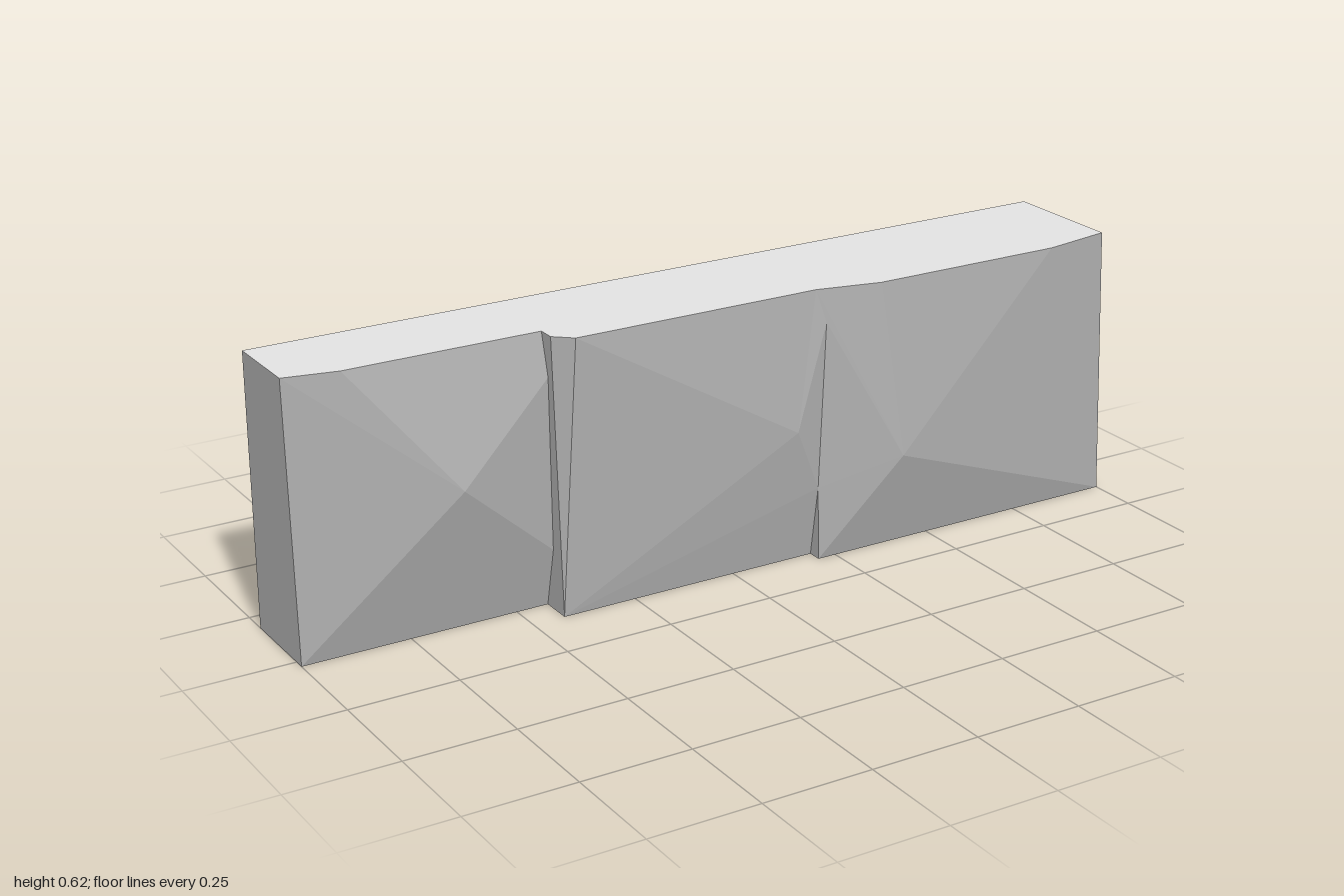
import * as THREE from 'three';

const H = 0.625, BACK = -0.19;

// Flat-shaded mesh from convex faces, each a counter-clockwise list of corners
function facets(name, faces, material) {
  const pos = [];
  for (const f of faces)
    for (let i = 1; i < f.length - 1; i++) pos.push(...f[0], ...f[i], ...f[i + 1]);
  const g = new THREE.BufferGeometry();
  g.setAttribute('position', new THREE.Float32BufferAttribute(pos, 3));
  g.computeVertexNormals();
  const mesh = new THREE.Mesh(g, material);
  mesh.name = name;
  return mesh;
}

// Horizontal slab face between the straight back and a front outline of [x, z]
function slab(outline, y, up) {
  const faces = [];
  for (let i = 0; i < outline.length - 1; i++) {
    const [x0, z0] = outline[i], [x1, z1] = outline[i + 1];
    if (x0 === x1) continue;
    const f = [[x0, y, z0], [x1, y, z1], [x1, y, BACK], [x0, y, BACK]];
    faces.push(up ? f : f.reverse());
  }
  return faces;
}

function flatMaterial(name, color) {
  const m = new THREE.MeshStandardMaterial({ color, flatShading: true });
  m.name = name;
  return m;
}

export function createModel() {
  const stone = flatMaterial('grey stone', 0xacacac);
  const paleStone = flatMaterial('pale top', 0xe1e1e1);
  const group = new THREE.Group();
  group.name = 'rockWall';

  // Left rock corners
  const S = -0.425;
  const a0 = [-1, 0, 0.025], a1 = [-1, H, 0], a2 = [-0.88, H, 0.025], a3 = [S, H, 0.025];
  const a4 = [S, 0.53, 0.05], a5 = [S, 0.14, 0.056], a6 = [S, 0, 0.025];
  const peakA = [-0.65, 0.34, 0.1];
  // Middle rock corners
  const b0 = [S, 0, 0.1], b1 = [S, H, 0.065], b2 = [-0.385, H, 0.1], b3 = [0.21, H, 0.1];
  const b4 = [0.23, 0.55, 0.113], b5 = [0.205, 0.17, 0.127], b6 = [0.205, 0, 0.1];
  const peakB = [0.14, 0.32, 0.143];
  // Right rock corners
  const c0 = [0.205, 0, 0.133], c1 = [0.36, H, 0.133], c2 = [0.83, H, 0.133];
  const c3 = [1, H, 0.103], c4 = [1, 0, 0.133];
  const peakC = [0.39, 0.23, 0.19];

  // Faceted rock faces
  group.add(facets('leftRock', [
    [peakA, a2, a1, a0], [peakA, a3, a2], [peakA, a4, a3],
    [peakA, a5, a4], [peakA, a6, a5], [peakA, a0, a6],
  ], stone));
  group.add(facets('middleRock', [
    [b0, b2, b1], [peakB, b2, b0], [peakB, b3, b2], [peakB, b4, b3],
    [peakB, b5, b4], [peakB, b0, b5], [b0, b6, b5],
    [b0, b1, a3, a4, a5, a6],
  ], stone));
  group.add(facets('rightRock', [
    [peakC, c1, b3, b4], [peakC, b4, b5], [peakC, b5, c0],
    [peakC, c2, c1], [peakC, c4, c2], [c4, c3, c2], [peakC, c0, c4],
    [b6, c0, b5],
  ], stone));

  // Flat top, base, back and ends
  const xz = (p) => [p[0], p[2]];
  const top = [a1, a2, a3, b1, b2, b3, c1, c2, c3].map(xz);
  const base = [a0, a6, b0, b6, c0, c4].map(xz);
  const k0 = [-1, 0, BACK], k1 = [-1, H, BACK], k2 = [1, H, BACK], k3 = [1, 0, BACK];
  group.add(facets('wallTop', slab(top, H, true), paleStone));
  group.add(facets('wallBase', slab(base, 0, false), stone));
  group.add(facets('wallBack', [[k3, k0, k1, k2]], stone));
  group.add(facets('wallEnds', [[k0, a0, a1, k1], [c4, k3, k2, c3]], stone));
  return group;
}
